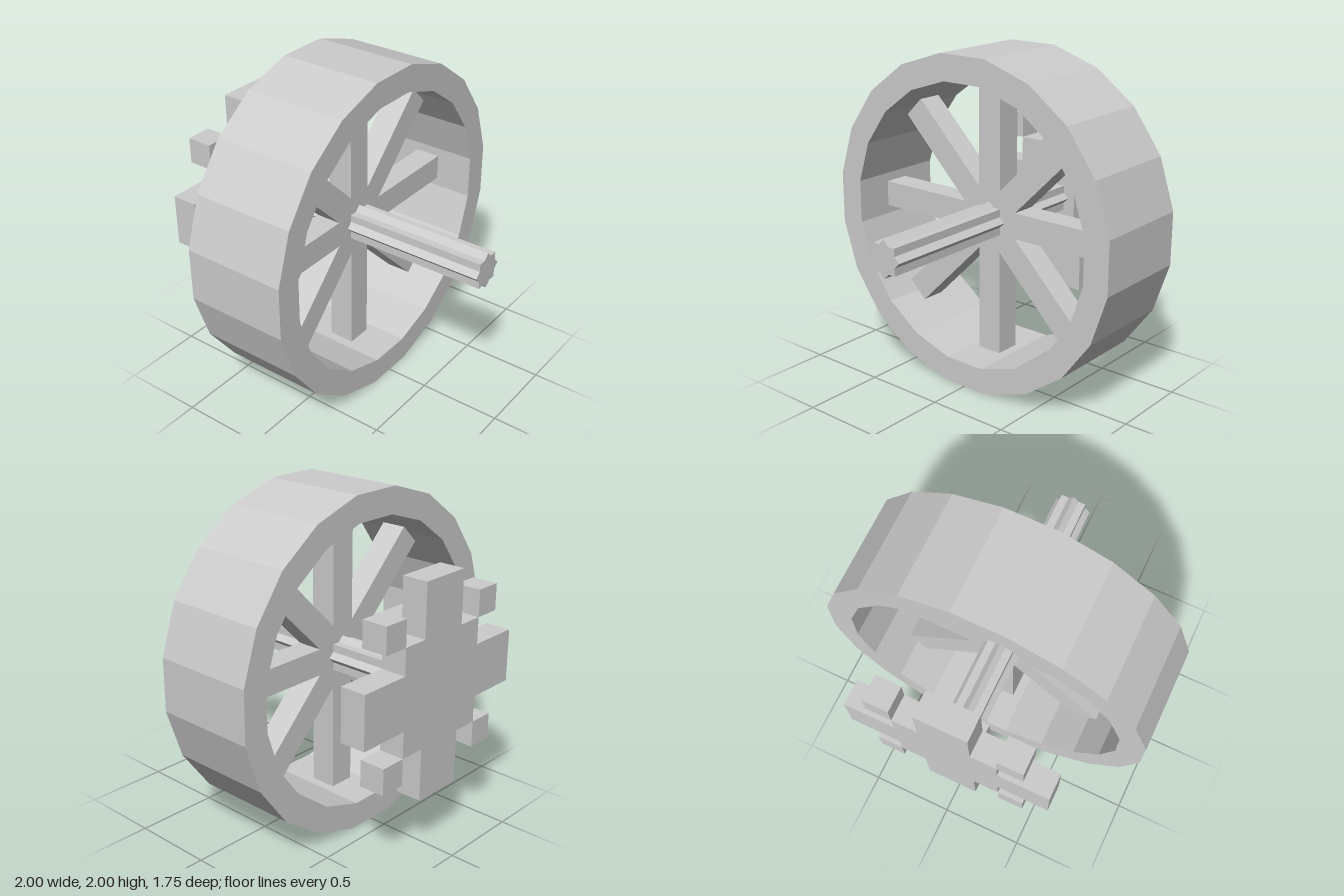
import * as THREE from 'three';

export function createModel() {
  const group = new THREE.Group();
  const grey = new THREE.MeshStandardMaterial({ color: 0xcccccc });
  grey.name = 'light grey';

  const wheelY = 1;
  const unit = 0.158; // width of one square bar

  function add(name, geometry, z, parent = group) {
    const mesh = new THREE.Mesh(geometry, grey);
    mesh.name = name;
    mesh.position.z = z;
    parent.add(mesh);
    return mesh;
  }

  const body = new THREE.Group();
  body.name = 'wheelAndAxle';
  body.position.y = wheelY;
  group.add(body);

  // Rim: twenty-sided ring with a flat at the top
  const polygon = (radius) => Array.from({ length: 20 }, (_, i) => {
    const a = ((i + 0.5) * Math.PI) / 10;
    return new THREE.Vector2(radius * Math.cos(a), radius * Math.sin(a));
  });
  const rim = new THREE.Shape(polygon(1.0125));
  rim.holes.push(new THREE.Path(polygon(0.854)));
  add('rim', new THREE.ExtrudeGeometry(rim, { depth: 0.633, bevelEnabled: false }), -0.396, body);

  // Four bars across the rim make eight spokes
  for (let i = 0; i < 4; i++) {
    const bar = add('spokeBar', new THREE.BoxGeometry(1.686, unit, unit), -0.079, body);
    bar.rotation.z = (i * Math.PI) / 4;
  }

  // Axle: two square rods turned against each other, star-shaped in section
  for (let i = 0; i < 2; i++) {
    const rod = add('axle', new THREE.BoxGeometry(unit, unit, 1.51), 0.12, body);
    rod.rotation.z = (i * Math.PI) / 4;
  }

  // Square boss joining axle and handle
  add('boss', new THREE.BoxGeometry(2 * unit, 2 * unit, 0.08), -0.675, body);

  // Handle: stepped cross
  const quarter = [[4, 1], [2, 1], [2, 2], [1, 2], [1, 4]];
  const outline = [];
  for (let q = 0; q < 4; q++) {
    for (const [x, y] of quarter) {
      const p = new THREE.Vector2(x * unit, y * unit);
      outline.push(p.rotateAround(new THREE.Vector2(), (q * Math.PI) / 2));
    }
  }
  add('handleCross', new THREE.ExtrudeGeometry(new THREE.Shape(outline),
    { depth: unit, bevelEnabled: false }), -0.874, body);

  // Cubes at the corners of the handle
  for (const sx of [-1, 1]) {
    for (const sy of [-1, 1]) {
      const cube = add('handleCornerCube', new THREE.BoxGeometry(unit, unit, unit), -0.795, body);
      cube.position.x = sx * 2.5 * unit;
      cube.position.y = sy * 2.5 * unit;
    }
  }

  return group;
}
